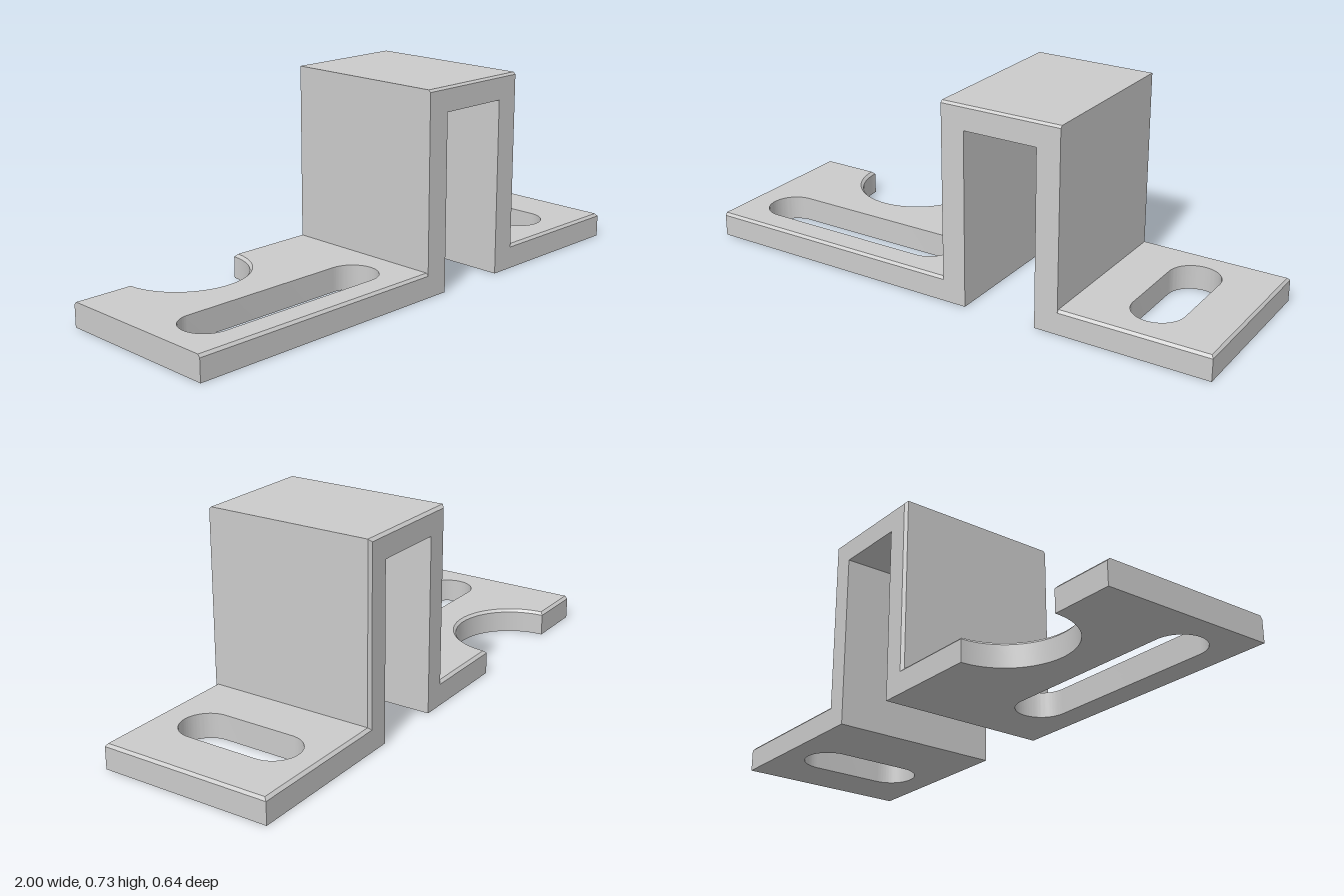
import * as THREE from 'three';
import { toCreasedNormals } from 'three/addons/utils/BufferGeometryUtils.js';

const D = 0.318;      // half depth
const T = 0.09;       // sheet thickness
const C = 0.01;       // back chamfer
const F = 0.008;      // front edge break
const H = 0.728;      // overall height
const NOTCH = { x: -0.55, r: 0.225 };
const HAT = { x0: 0, x1: 0.45, in0: 0.088, in1: 0.363, inTop: 0.64 };

const material = new THREE.MeshStandardMaterial({ color: 0xcccccc });
const near = (a, b) => Math.abs(a - b) < 1e-4;

function mesh(geometry, name) {
  const m = new THREE.Mesh(toCreasedNormals(geometry, 0.5), material);
  m.name = name;
  return m;
}

// Moves every vertex by a rule that edits a Vector3 in place.
function reshape(geometry, rule) {
  const p = geometry.attributes.position, v = new THREE.Vector3();
  for (let i = 0; i < p.count; i++) {
    rule(v.fromBufferAttribute(p, i));
    p.setXYZ(i, v.x, v.y, v.z);
  }
  return geometry;
}

// Rounded slot between two end centres, as a hole path.
function slot(x, y, half, r, vertical) {
  const p = new THREE.Path();
  const a = vertical ? 0 : -Math.PI / 2;
  const dx = vertical ? 0 : half, dy = vertical ? half : 0;
  p.absarc(x + dx, y + dy, r, a, a + Math.PI, false);
  p.absarc(x - dx, y - dy, r, a + Math.PI, a + 2 * Math.PI, false);
  p.closePath();
  return p;
}

// Flat foot: plan shape (y towards the back) with a broken top edge.
function foot(shape, name) {
  const g = new THREE.ExtrudeGeometry(shape, { depth: T, steps: 2, bevelEnabled: false, curveSegments: 28 });
  reshape(g, (v) => {
    if (near(v.z, T / 2)) v.z = T - C;
    else if (near(v.z, T)) {
      const dx = v.x - NOTCH.x, dy = v.y - D, r = Math.hypot(dx, dy);
      if (near(r, NOTCH.r)) {
        v.x = NOTCH.x + dx * (NOTCH.r + C) / r;
        v.y = D + dy * (NOTCH.r + C) / r;
      }
      if (v.y > D - C) v.y = D - C;
      if (near(v.y, -D)) v.y += F;
      if (near(v.x, 1)) v.x -= F;
    }
  });
  g.rotateX(-Math.PI / 2);
  return mesh(g, name);
}

export function createModel() {
  const group = new THREE.Group();
  group.name = 'bracket';

  // Long foot with a lengthwise slot and a half-round notch at the back
  const long = new THREE.Shape();
  long.moveTo(-1, -D);
  long.lineTo(HAT.in0, -D);
  long.lineTo(HAT.in0, D);
  long.lineTo(NOTCH.x + NOTCH.r, D);
  long.absarc(NOTCH.x, D, NOTCH.r, 0, -Math.PI, true);
  long.lineTo(-1, D);
  long.closePath();
  long.holes.push(slot(-0.502, -0.133, 0.32, 0.092, false));
  group.add(foot(long, 'longFoot'));

  // Short foot with a crosswise slot
  const short = new THREE.Shape();
  short.moveTo(HAT.in1, -D);
  short.lineTo(1, -D);
  short.lineTo(1, D);
  short.lineTo(HAT.in1, D);
  short.closePath();
  short.holes.push(slot(0.724, 0.004, 0.135, 0.094, true));
  group.add(foot(short, 'shortFoot'));

  // Raised channel between the feet
  const y0 = T - C;
  const channel = new THREE.Shape([
    [HAT.x0, y0], [HAT.in0, y0], [HAT.in0, HAT.inTop], [HAT.in1, HAT.inTop],
    [HAT.in1, y0], [HAT.x1, y0], [HAT.x1, H], [HAT.x0, H],
  ].map(([x, y]) => new THREE.Vector2(x, y)));
  const g = new THREE.ExtrudeGeometry(channel, { depth: 3, steps: 3, bevelEnabled: false });
  const layers = [-D, -D + C, D - F, D];
  reshape(g, (v) => {
    const k = Math.round(v.z);
    v.z = layers[k];
    if (k === 0) { // chamfer all outer edges at the back
      if (near(v.x, HAT.x0)) v.x += C;
      if (near(v.x, HAT.x1)) v.x -= C;
    }
    if (near(v.y, H)) v.y -= [C, 0, 0, F][k];
  });
  group.add(mesh(g, 'raisedChannel'));

  return group;
}
